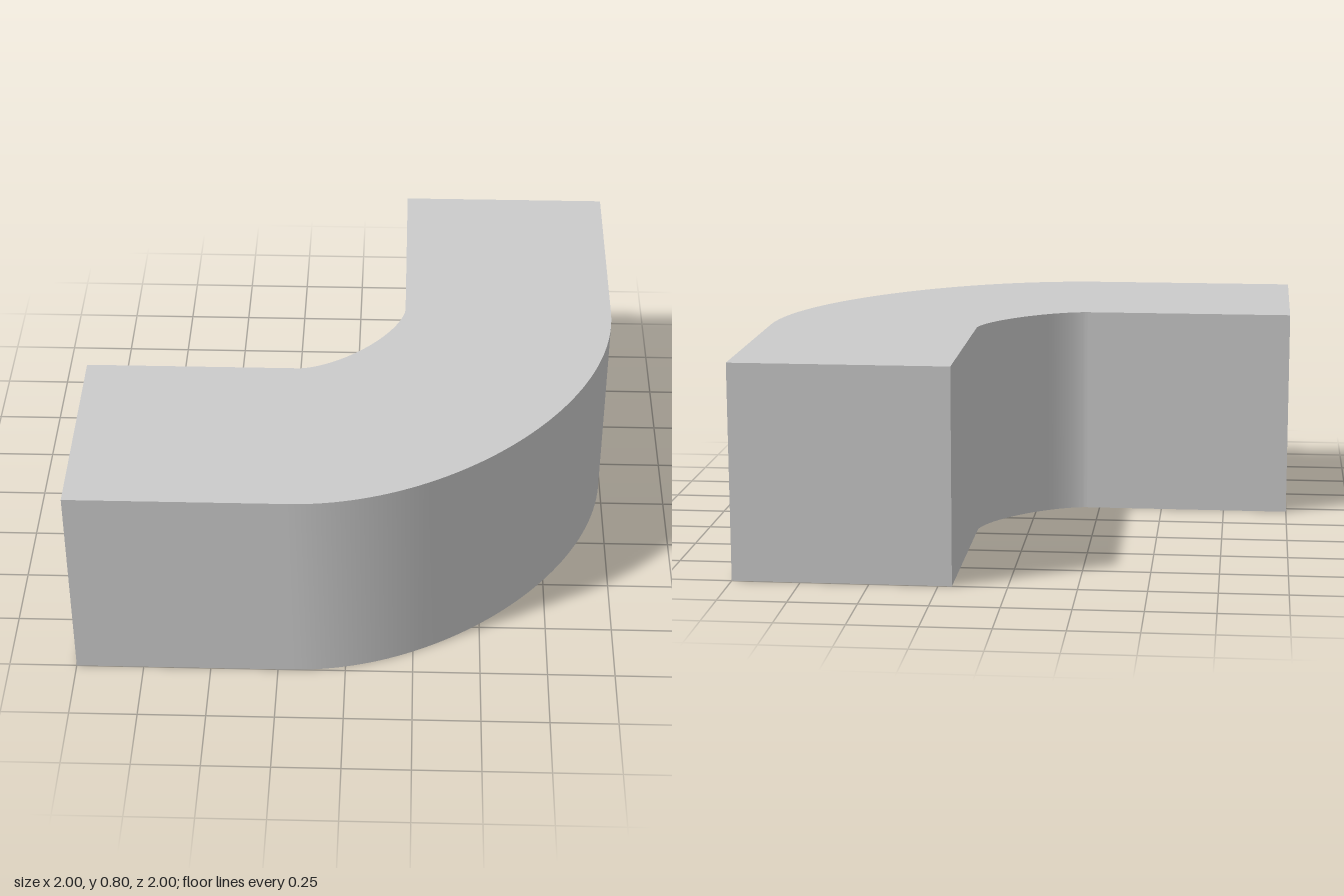
import * as THREE from 'three';
import { toCreasedNormals } from 'three/addons/utils/BufferGeometryUtils.js';

const HEIGHT = 0.8;
const HALF_WIDTH = 0.4;
const SEGMENTS = 48;

// Centre line of the bend in plan (x, z), from the -x arm to the -z arm
const centreLine = new THREE.CubicBezierCurve(
  new THREE.Vector2(-0.2, 0.6),
  new THREE.Vector2(0.17, 0.6),
  new THREE.Vector2(0.6, 0.17),
  new THREE.Vector2(0.6, -0.2)
);

// Points running parallel to the centre line; positive distance is the outer side
function parallel(distance) {
  return Array.from({ length: SEGMENTS + 1 }, (_, i) => {
    const t = i / SEGMENTS;
    const tangent = centreLine.getTangent(t);
    return centreLine.getPoint(t).add(new THREE.Vector2(-tangent.y, tangent.x).multiplyScalar(distance));
  });
}

export function createModel() {
  const group = new THREE.Group();
  group.name = 'curvedCorner';

  // Plan outline: two straight arms joined by the bend
  const plan = new THREE.Shape([
    new THREE.Vector2(-1, 1),
    new THREE.Vector2(-1, 0.2),
    ...parallel(-HALF_WIDTH),
    new THREE.Vector2(0.2, -1),
    new THREE.Vector2(1, -1),
    ...parallel(HALF_WIDTH).reverse(),
  ]);

  // Extrude upright, keeping the curved walls smooth and the end edges sharp
  const solid = new THREE.ExtrudeGeometry(plan, { depth: HEIGHT, bevelEnabled: false });
  solid.rotateX(Math.PI / 2).translate(0, HEIGHT, 0);
  const bend = new THREE.Mesh(
    toCreasedNormals(solid, 0.2),
    new THREE.MeshStandardMaterial({ color: 0xcccccc })
  );
  bend.name = 'bend';
  group.add(bend);
  return group;
}
